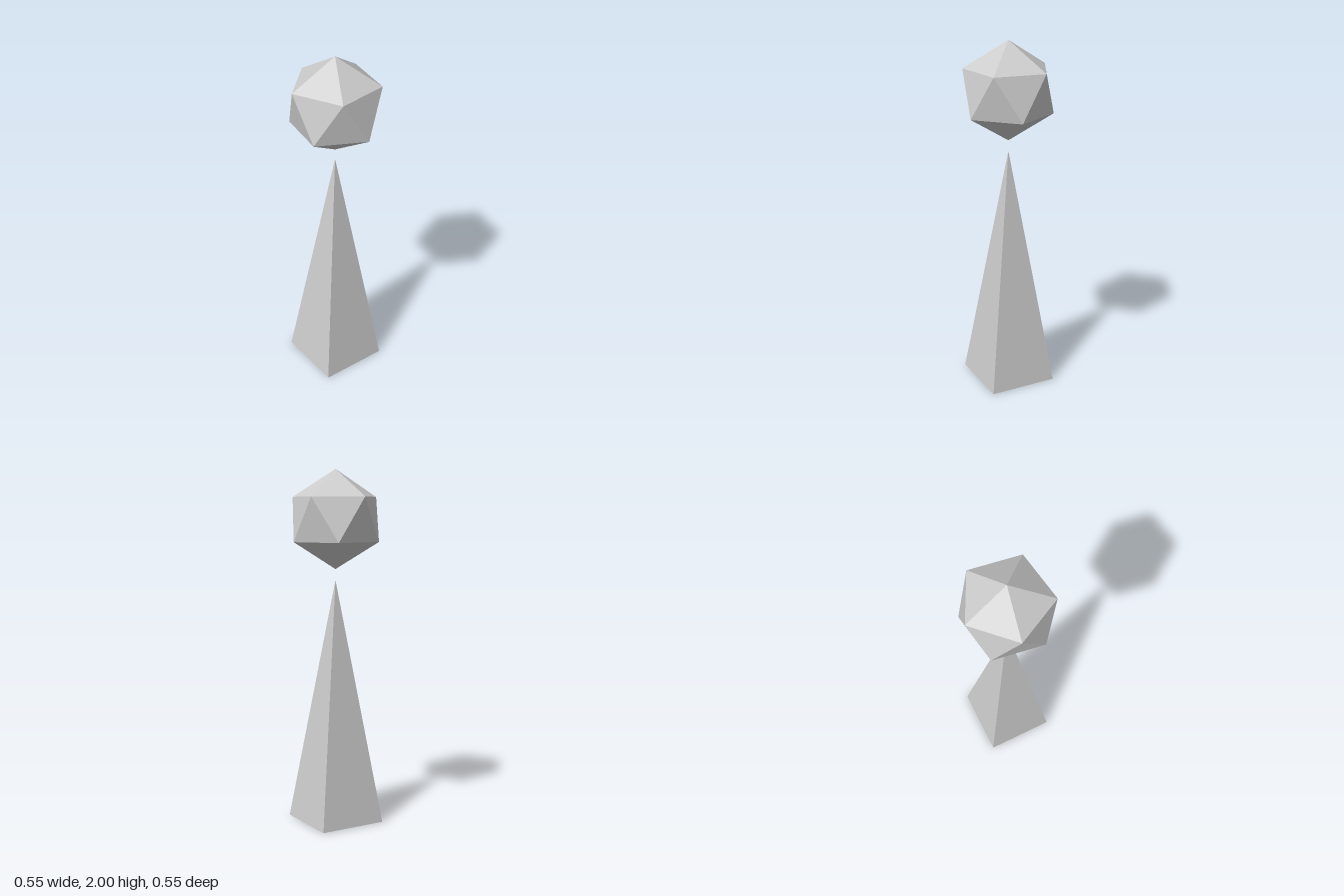
import * as THREE from 'three';

export function createModel() {
  const radius = 0.277;
  const spireHeight = 1.385;
  const grey = new THREE.MeshStandardMaterial({ color: 0xcccccc, flatShading: true });
  grey.name = 'light grey';

  const model = new THREE.Group();
  model.name = 'spireWithFloatingGem';

  // Four-sided spire, its corners on the x and z axes
  const spire = new THREE.Mesh(new THREE.ConeGeometry(radius, spireHeight, 4), grey);
  spire.name = 'spire';
  spire.position.y = spireHeight / 2;
  model.add(spire);

  // Twenty-sided gem, turned so that one corner points straight up
  const goldenRatio = (1 + Math.sqrt(5)) / 2;
  const gemGeometry = new THREE.IcosahedronGeometry(radius, 0);
  gemGeometry.rotateZ(-Math.atan(1 / goldenRatio));
  const gem = new THREE.Mesh(gemGeometry, grey);
  gem.name = 'gem';
  gem.position.y = 2 - radius;
  model.add(gem);

  return model;
}
